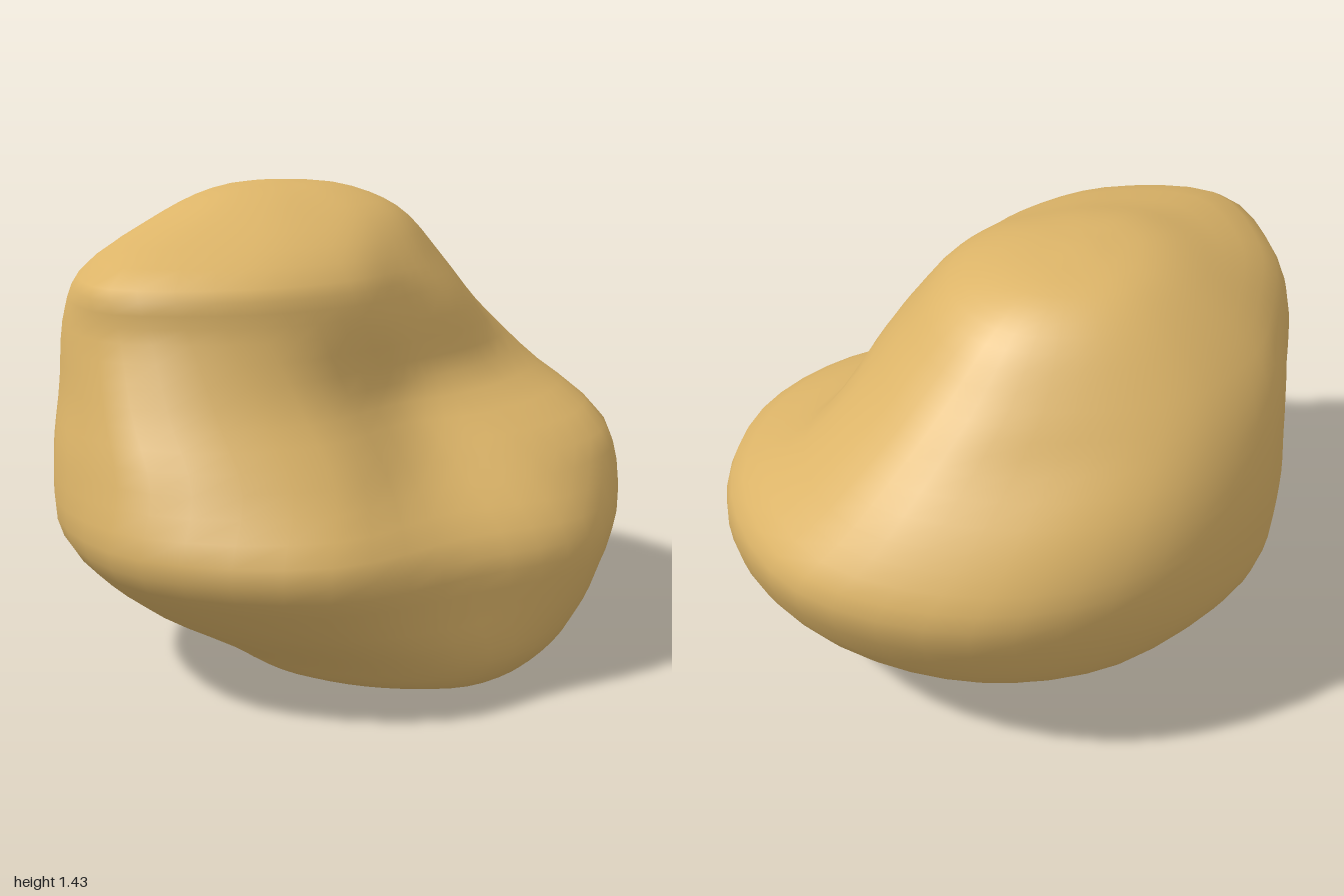
import * as THREE from 'three';

const AROUND = 48, UPWARD = 44;

// Horizontal sections: height, centre x and z, then the radius every 30 degrees from +x towards +z
const sections = [
  { y: 0.045, x: 0.12, z: 0.2, r: [0.44, 0.48, 0.49, 0.45, 0.43, 0.42, 0.41, 0.38, 0.37, 0.36, 0.37, 0.41] },
  { y: 0.13, x: 0.08, z: 0.05, r: [0.59, 0.66, 0.7, 0.69, 0.66, 0.58, 0.54, 0.57, 0.64, 0.63, 0.62, 0.6] },
  { y: 0.28, x: 0, z: 0, r: [0.78, 0.82, 0.79, 0.88, 0.89, 0.8, 0.74, 0.74, 0.78, 0.79, 0.8, 0.81] },
  { y: 0.45, x: 0, z: 0, r: [0.85, 0.83, 0.77, 0.97, 1.04, 0.95, 0.84, 0.88, 0.89, 0.92, 0.93, 0.91] },
  { y: 0.66, x: 0, z: 0, r: [0.79, 0.65, 0.52, 0.8, 0.99, 0.96, 0.86, 0.92, 0.95, 1.0, 1.01, 0.91] },
  { y: 0.85, x: -0.1, z: -0.05, r: [0.54, 0.45, 0.47, 0.72, 0.92, 0.85, 0.75, 0.81, 0.84, 0.87, 0.91, 0.78] },
  { y: 1.05, x: -0.2, z: -0.05, r: [0.55, 0.47, 0.54, 0.68, 0.81, 0.73, 0.64, 0.68, 0.71, 0.71, 0.78, 0.67] },
  { y: 1.18, x: -0.25, z: -0.05, r: [0.51, 0.46, 0.53, 0.66, 0.77, 0.63, 0.54, 0.56, 0.6, 0.62, 0.68, 0.61] },
  { y: 1.33, x: -0.25, z: -0.13, r: [0.4, 0.36, 0.34, 0.37, 0.41, 0.38, 0.35, 0.36, 0.39, 0.42, 0.47, 0.45] },
];

// Smaller, shifted copy of a section, to round off an end
const shrink = ({ r }, scale, y, x, z) => ({ y, x, z, r: r.map((radius) => radius * scale) });

// Smooth closed outline through one section
function outline({ y, x, z, r }) {
  const points = r.map((radius, k) => {
    const a = (k / r.length) * Math.PI * 2;
    return new THREE.Vector3(x + Math.cos(a) * radius, y, z + Math.sin(a) * radius);
  });
  const curve = new THREE.CatmullRomCurve3(points, true);
  return Array.from({ length: AROUND }, (_, j) => curve.getPoint(j / AROUND));
}

function rockGeometry() {
  const bottom = new THREE.Vector3(0.32, 0, 0.27);
  const top = new THREE.Vector3(-0.24, 1.43, -0.2);
  const rings = [
    shrink(sections[0], 0.5, 0.012, 0.27, 0.27),
    ...sections,
    shrink(sections[sections.length - 1], 0.56, 1.405, -0.24, -0.19),
  ].map(outline);

  // Run a smooth rib from bottom to top through every outline
  const positions = [...bottom.toArray(), ...top.toArray()];
  for (let j = 0; j < AROUND; j++) {
    const rib = new THREE.CatmullRomCurve3([bottom, ...rings.map((ring) => ring[j]), top]);
    for (let i = 1; i < UPWARD; i++) positions.push(...rib.getPoint(i / UPWARD).toArray());
  }

  // Skin neighbouring ribs, with shared end points
  const at = (i, j) => (i === 0 ? 0 : i === UPWARD ? 1 : 2 + (j % AROUND) * (UPWARD - 1) + i - 1);
  const index = [];
  for (let j = 0; j < AROUND; j++) {
    for (let i = 0; i < UPWARD; i++) {
      const a = at(i, j), b = at(i, j + 1), c = at(i + 1, j), d = at(i + 1, j + 1);
      if (i > 0) index.push(a, c, b);
      if (i < UPWARD - 1) index.push(b, c, d);
    }
  }
  const geometry = new THREE.BufferGeometry();
  geometry.setAttribute('position', new THREE.Float32BufferAttribute(positions, 3));
  geometry.setIndex(index);
  geometry.computeVertexNormals();
  return geometry;
}

export function createModel() {
  const model = new THREE.Group();
  model.name = 'boulder';
  const sandstone = new THREE.MeshStandardMaterial({ color: 0xdcb468 });
  sandstone.name = 'sandstone';
  const rock = new THREE.Mesh(rockGeometry(), sandstone);
  rock.name = 'rock';
  model.add(rock);
  return model;
}
